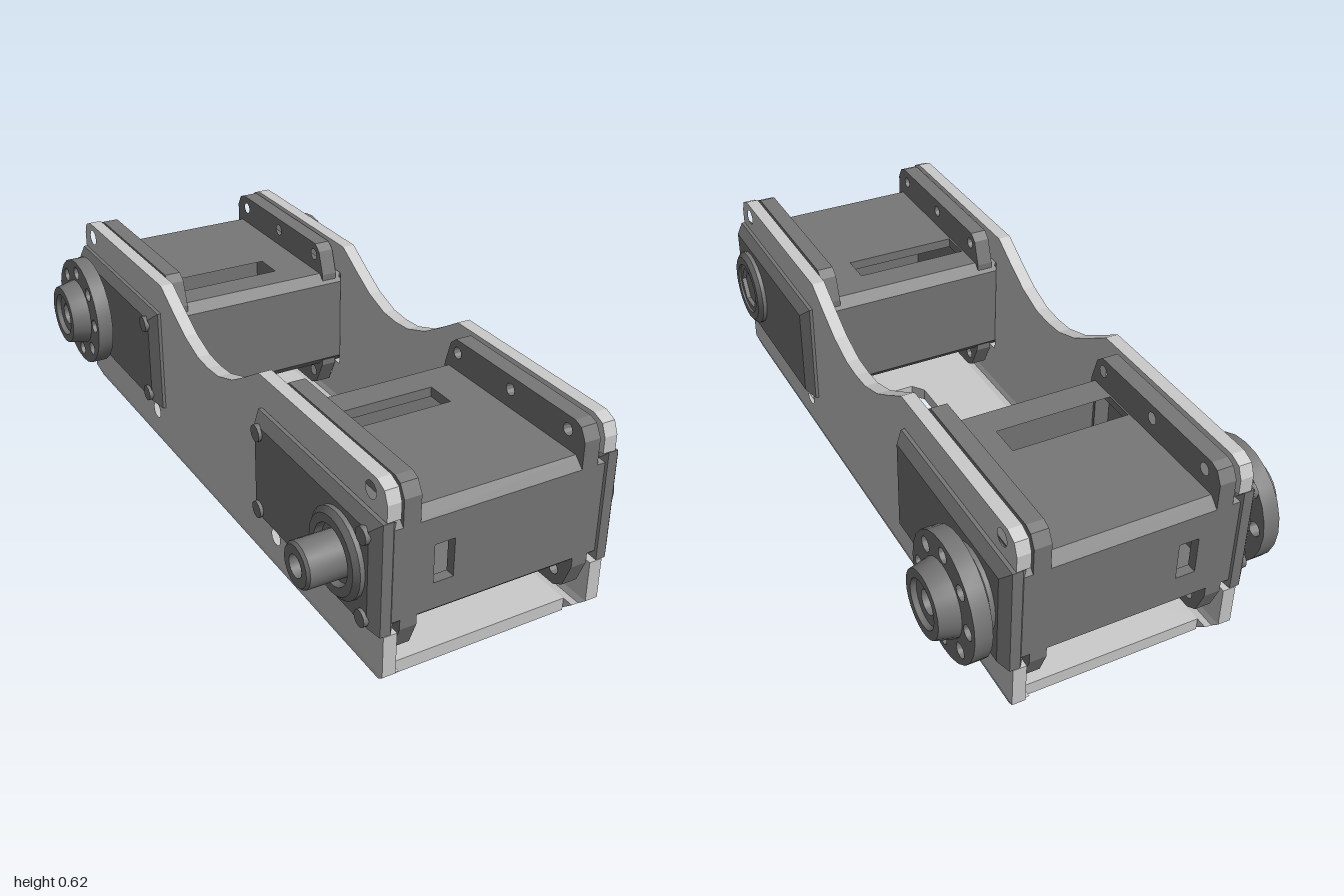
import * as THREE from 'three';
import { toCreasedNormals } from 'three/addons/utils/BufferGeometryUtils.js';

const bracketMat = new THREE.MeshStandardMaterial({ color: 0xcccccc });
const servoMat = new THREE.MeshStandardMaterial({ color: 0x777777 });
const AXLE_Y = 0.37, AXLE_Z = 0.83;

function add(parent, name, geometry, material) {
  const mesh = new THREE.Mesh(geometry, material);
  mesh.name = name;
  parent.add(mesh);
  return mesh;
}

function polygon(points) {
  return new THREE.Shape(points.map(([a, b]) => new THREE.Vector2(a, b)));
}

function rect(a0, b0, a1, b1) {
  return polygon([[a0, b0], [a1, b0], [a1, b1], [a0, b1]]);
}

function addHole(shape, a, b, r) {
  shape.holes.push(new THREE.Path().absarc(a, b, r, 0, Math.PI * 2, true));
}

// Shape drawn in (z, y), extruded from x0 to x1
function slabX(shape, x0, x1, bevel = 0) {
  const g = new THREE.ExtrudeGeometry(shape, {
    depth: x1 - x0 - 2 * bevel, bevelEnabled: bevel > 0, bevelSize: bevel,
    bevelThickness: bevel, bevelOffset: -bevel, bevelSegments: 1, curveSegments: 6,
  });
  return g.rotateY(-Math.PI / 2).translate(x1 - bevel, 0, 0);
}

// Shape drawn in (x, z), extruded from y0 to y1
function slabY(shape, y0, y1) {
  const g = new THREE.ExtrudeGeometry(shape, { depth: y1 - y0, bevelEnabled: false });
  return g.rotateX(Math.PI / 2).translate(0, y1, 0);
}

// Turned part along x: profile of [radius, distance], dir +1 or -1
function turned(profile, dir, x, z, sides = 24) {
  const g = new THREE.LatheGeometry(profile.map(([r, h]) => new THREE.Vector2(r, h)), sides);
  g.rotateZ(-dir * Math.PI / 2).translate(x, AXLE_Y, z);
  return toCreasedNormals(g, 0.6);
}

function createBracket() {
  const bracket = new THREE.Group();
  bracket.name = 'bracket';

  // Side walls: dipped top edge, notched ends for the servo cases
  const half = [[0.07, 0.505], [0.16, 0.535], [0.24, 0.58], [0.33, 0.635], [0.94, 0.635],
    [0.975, 0.62], [0.99, 0.585], [0.99, 0.537], [0.345, 0.537], [0.345, 0.198], [0.99, 0.198], [0.99, 0.07]];
  const mirrored = half.map(([z, y]) => [-z, y]).reverse();
  const wall = polygon([[0, 0.5], ...half, ...mirrored]);
  for (const s of [-1, 1]) {
    addHole(wall, s * 0.915, 0.59, 0.025);
    addHole(wall, s * 0.42, 0.155, 0.025);
  }
  // Bent lower edge, clipped diagonally at both ends
  const bend = [[0.345, 0.07], [0.335, 0.04], [0.315, 0.02], [0.28, 0.01], [0.28, 0.05], [0.297, 0.055], [0.305, 0.07]];
  for (const s of [-1, 1]) {
    const side = s > 0 ? 'left' : 'right';
    add(bracket, side + 'Wall', slabX(wall, s > 0 ? 0.305 : -0.345, s > 0 ? 0.345 : -0.305), bracketMat);
    const g = new THREE.ExtrudeGeometry(polygon(bend.map(([x, y]) => [s * x, y])), { depth: 2, bevelEnabled: false });
    g.translate(0, 0, -1);
    const p = g.attributes.position;
    for (let i = 0; i < p.count; i++) p.setZ(i, p.getZ(i) * (0.92 + (p.getY(i) - 0.01) * 1.167));
    g.computeVertexNormals();
    add(bracket, side + 'Bend', g, bracketMat);
  }

  // Floor with a long chamfered slot
  const floor = rect(-0.28, -0.93, 0.28, 0.93);
  floor.holes.push(polygon([[-0.07, -0.42], [-0.04, -0.46], [0.04, -0.46], [0.07, -0.42],
    [0.07, 0.42], [0.04, 0.46], [-0.04, 0.46], [-0.07, 0.42]]));
  add(bracket, 'floor', slabY(floor, 0.01, 0.05), bracketMat);
  return bracket;
}

// Servo case; s = +1 for the front one, -1 for the back one
function createServo(s) {
  const servo = new THREE.Group();
  servo.name = s > 0 ? 'frontServo' : 'backServo';
  const z0 = 0.35, z1 = 0.985, y0 = 0.2, y1 = 0.535, c = 0.03, w = 0.32;
  const zy = (points) => polygon(points.map(([z, y]) => [s * z, y]));

  // Top and bottom plates with wiring slot
  const plate = rect(-w, s * (z0 + c), w, s * (z1 - c));
  plate.holes.push(rect(-0.24, s * 0.47, 0.125, s * 0.565));
  add(servo, 'topPlate', slabY(plate, y1 - c, y1), servoMat);
  add(servo, 'bottomPlate', slabY(plate, y0, y0 + c), servoMat);

  // Outer end plate with a small port, and closed inner plate
  const port = rect(-w, y0 + c, w, y1 - c);
  port.holes.push(rect(-0.2, 0.31, -0.14, 0.425));
  const outer = new THREE.ExtrudeGeometry(port, { depth: c, bevelEnabled: false });
  add(servo, 'outerPlate', outer.translate(0, 0, s > 0 ? z1 - c : -z1), servoMat);
  const inner = new THREE.BoxGeometry(2 * w, y1 - y0 - 2 * c, c);
  add(servo, 'innerPlate', inner.translate(0, (y0 + y1) / 2, s * (z0 + c / 2)), servoMat);

  // Chamfered long edges
  for (const [z, dz] of [[z0, c], [z1, -c]]) {
    for (const [y, dy] of [[y0, c], [y1, -c]]) {
      add(servo, 'chamfer', slabX(zy([[z, y + dy], [z + dz, y], [z + dz, y + dy]]), -w, w), servoMat);
    }
  }

  // Mounting flanges with screw holes
  const flange = zy([[0.36, 0.2], [0.4, 0.12], [0.43, 0.105], [0.92, 0.105], [0.955, 0.125], [0.985, 0.2],
    [0.985, 0.585], [0.965, 0.62], [0.94, 0.63], [0.41, 0.63], [0.385, 0.61], [0.36, 0.535]]);
  for (const z of [0.42, 0.67, 0.915]) {
    for (const y of [0.155, 0.59]) addHole(flange, s * z, y, 0.018);
  }
  // Open the flange where it crosses the hollow case
  flange.holes.push(zy([[z0 + 0.04, y0 + c], [z1 - c, y0 + c], [z1 - c, y1 - c], [z0 + 0.04, y1 - c]]));

  for (const d of [-1, 1]) {
    add(servo, 'flange', slabX(flange, d > 0 ? 0.245 : -0.295, d > 0 ? 0.295 : -0.245), servoMat);
    // Bevelled side cap, with a raised round boss
    const cap = zy([[0.345, y0], [0.99, y0], [0.99, y1], [0.345, y1]]);
    add(servo, 'sideCap', slabX(cap, d > 0 ? 0.3 : -0.38, d > 0 ? 0.38 : -0.3, 0.025), servoMat);
    add(servo, 'boss', turned([[0.125, 0], [0.125, 0.015], [0.11, 0.028], [0.085, 0.028], [0.08, 0.008], [0, 0.008]],
      d, d * 0.378, s * AXLE_Z), servoMat);
  }

  // Case screws on the right cap
  for (const z of [0.39, 0.945]) {
    for (const y of [0.245, 0.49]) {
      const screw = new THREE.CylinderGeometry(0.025, 0.025, 0.02, 12);
      add(servo, 'caseScrew', screw.rotateZ(Math.PI / 2).translate(-0.38, y, s * z), servoMat);
    }
  }
  return servo;
}

// Round output horn with a ring of holes and a hub
function createHorn(d) {
  const horn = new THREE.Group();
  horn.name = d > 0 ? 'leftHorn' : 'rightHorn';
  const disc = new THREE.Shape().absarc(0, 0, 0.18, 0, Math.PI * 2, false);
  for (let i = 0; i < 8; i++) {
    const a = (i * Math.PI) / 4;
    addHole(disc, 0.14 * Math.cos(a), 0.14 * Math.sin(a), 0.022);
  }
  const g = new THREE.ExtrudeGeometry(disc, { depth: 0.05, bevelEnabled: false, curveSegments: 12 });
  g.rotateY(-Math.PI / 2).translate(0.025, AXLE_Y, -AXLE_Z);
  const x = d > 0 ? 0.44 : -0.42;
  add(horn, 'hornDisc', toCreasedNormals(g, 0.6).translate(x, 0, 0), servoMat);
  add(horn, 'hornHub', turned([[0.07, -0.07], [0.07, 0], [0.11, 0], [0.11, 0.025], [0.096, 0.083], [0.07, 0.083],
    [0.065, 0.068], [0.035, 0.068], [0.035, 0.02], [0, 0.02]], d, x, -AXLE_Z), servoMat);
  return horn;
}

export function createModel() {
  const model = new THREE.Group();
  model.name = 'servoBracketLink';
  model.add(createBracket(), createServo(1), createServo(-1), createHorn(1), createHorn(-1));

  // Bare output shaft of the front servo, and hex socket on its other side
  add(model, 'outputShaft', turned([[0.065, 0], [0.065, 0.117], [0.058, 0.125], [0.032, 0.125], [0.032, 0.08], [0, 0.08]],
    -1, -0.38, AXLE_Z, 16), servoMat);
  const socket = new THREE.Shape().absarc(0, 0, 0.085, 0, Math.PI * 2, false);
  socket.holes.push(polygon([0, 1, 2, 3, 4, 5].map((i) => [0.07 * Math.cos(i * Math.PI / 3), 0.07 * Math.sin(i * Math.PI / 3)])));
  add(model, 'hexSocket', slabX(socket, 0.38, 0.4).translate(0, AXLE_Y, AXLE_Z), servoMat);

  model.position.set(-0.01, 0, 0.01);
  const root = new THREE.Group();
  root.name = 'model';
  root.add(model);
  return root;
}
